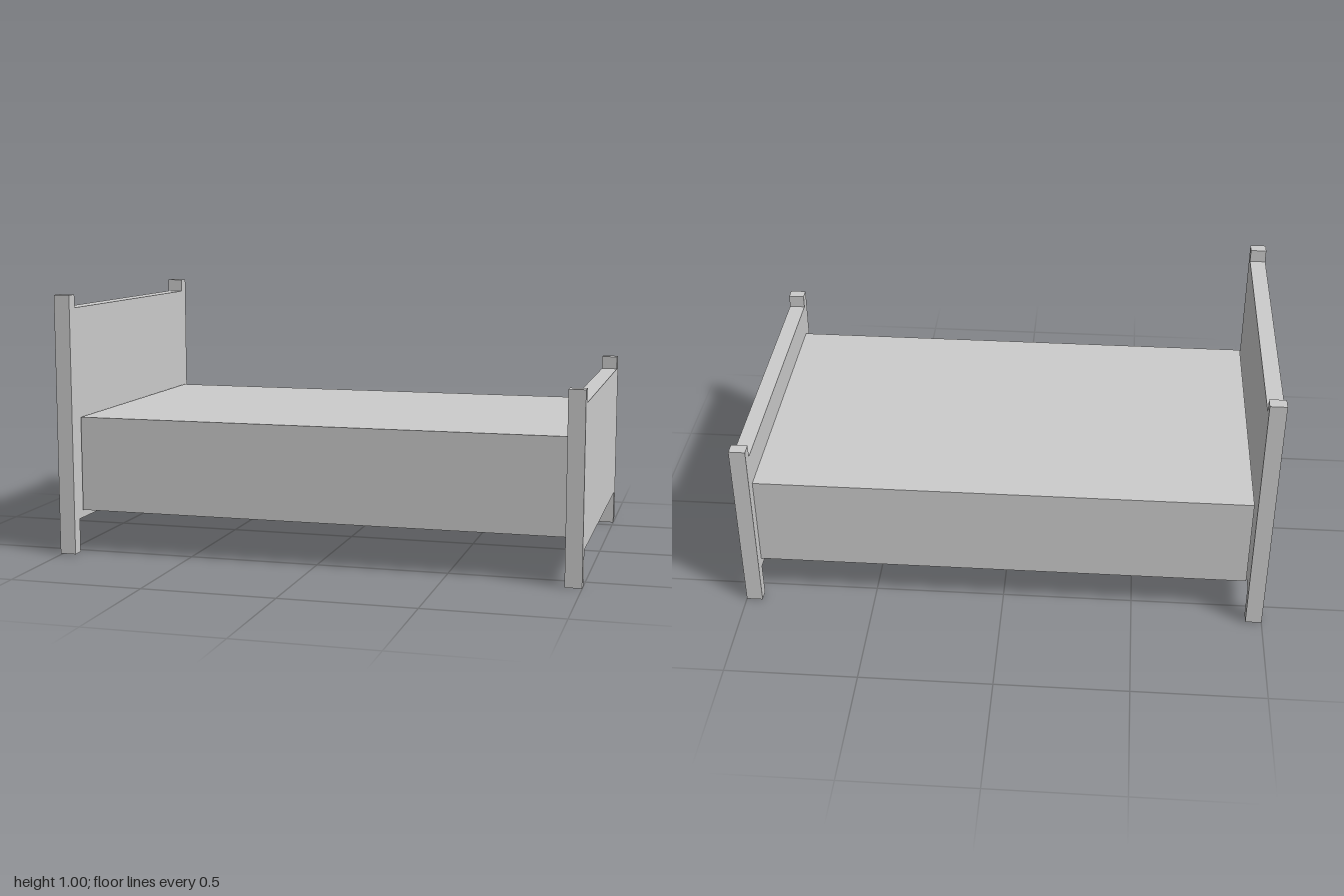
import * as THREE from 'three';

const material = new THREE.MeshStandardMaterial({ color: 0xcccccc, flatShading: true });

// Box given by its lower and upper corners
function block(name, [x0, y0, z0], [x1, y1, z1]) {
  const mesh = new THREE.Mesh(new THREE.BoxGeometry(x1 - x0, y1 - y0, z1 - z0), material);
  mesh.name = name;
  mesh.position.set((x0 + x1) / 2, (y0 + y1) / 2, (z0 + z1) / 2);
  return mesh;
}

// End board: one outline with two posts and a panel of equal thickness between them
function endBoard(name, x0, bottom, top) {
  const outer = 0.598, inner = 0.552, panelBottom = bottom + 0.13, panelTop = top - 0.05;
  const shape = new THREE.Shape([
    [-outer, bottom], [-inner, bottom], [-inner, panelBottom], [inner, panelBottom],
    [inner, bottom], [outer, bottom], [outer, top], [inner, top],
    [inner, panelTop], [-inner, panelTop], [-inner, top], [-outer, top],
  ].map(([z, y]) => new THREE.Vector2(z, y)));
  const geometry = new THREE.ExtrudeGeometry(shape, { depth: 0.062, bevelEnabled: false });
  geometry.rotateY(Math.PI / 2);
  const mesh = new THREE.Mesh(geometry, material);
  mesh.name = name;
  mesh.position.x = x0;
  return mesh;
}

export function createModel() {
  const bed = new THREE.Group();
  bed.name = 'bed';
  bed.add(
    endBoard('headboard', -1, 0.005, 1),
    endBoard('footboard', 0.938, 0, 0.705),
    // Mattress and side rails as one solid body
    block('mattress', [-0.93, 0.168, -0.55], [0.938, 0.53, 0.538]),
  );
  return bed;
}
